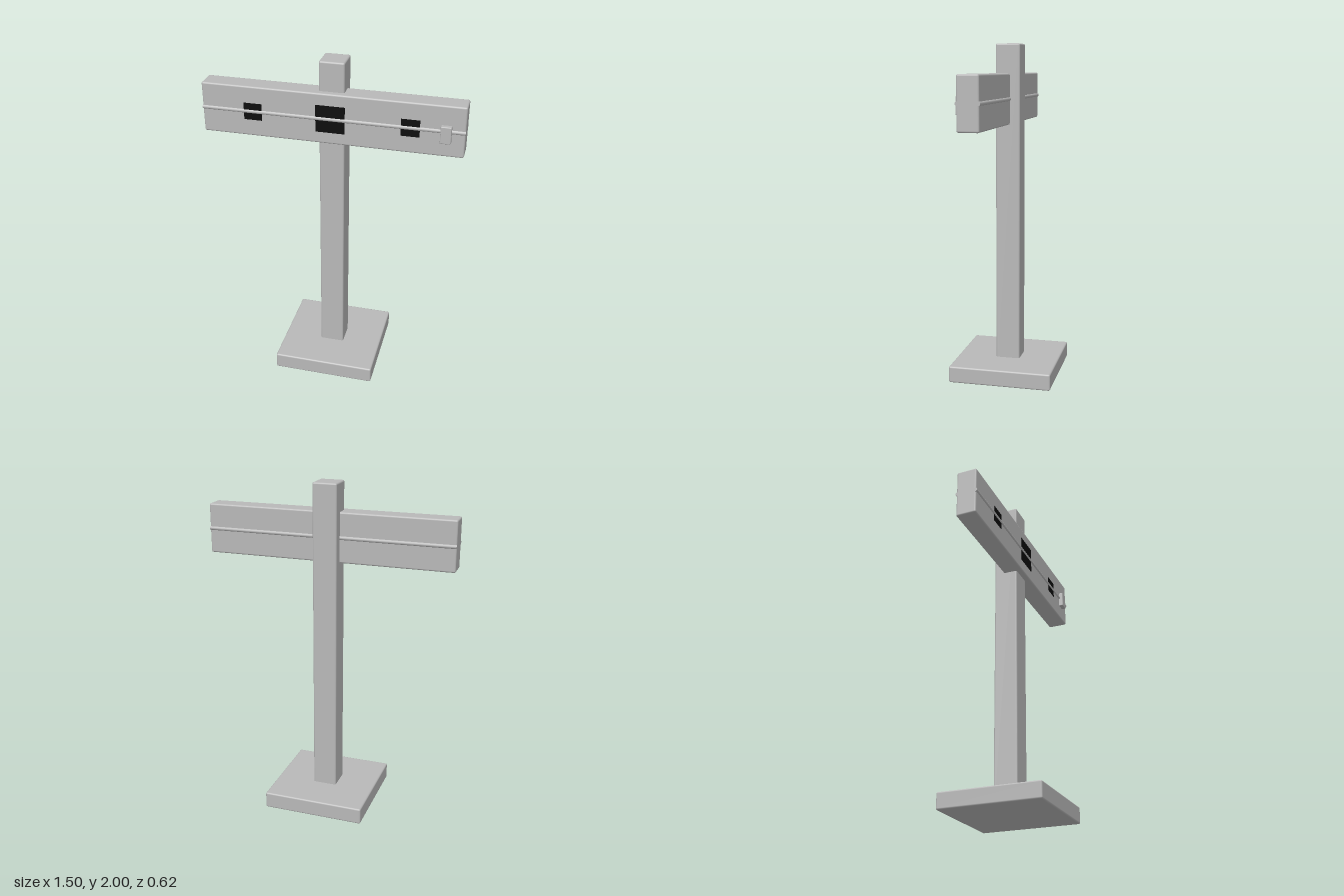
import * as THREE from 'three';
import { RoundedBoxGeometry } from 'three/addons/geometries/RoundedBoxGeometry.js';

const grey = new THREE.MeshStandardMaterial({ color: 0xb8b8b8 });
grey.name = 'grey';
const black = new THREE.MeshStandardMaterial({ color: 0x0c0c0c });
black.name = 'black';

export function createModel() {
  const model = new THREE.Group();
  model.name = 'signpost';

  const add = (name, geometry, material, x, y, z) => {
    const mesh = new THREE.Mesh(geometry, material);
    mesh.name = name;
    mesh.position.set(x, y, z);
    model.add(mesh);
    return mesh;
  };
  const block = (name, w, h, d, r, x, y, z) =>
    add(name, new RoundedBoxGeometry(w, h, d, 2, r), grey, x, y, z);

  // Base, post and cross board
  block('base', 0.616, 0.1, 0.616, 0.01, 0, 0.05, 0);
  block('post', 0.146, 1.95, 0.146, 0.01, 0, 1.025, 0);
  const midY = 1.68, midZ = 0.048, halfDepth = 0.061;
  const frontZ = midZ + halfDepth;
  block('board', 1.5, 0.298, halfDepth * 2, 0.01, 0, midY, midZ);

  // Thin rods along the front and back of the board
  for (const [name, side] of [['frontRod', 1], ['backRod', -1]]) {
    const rod = new THREE.CylinderGeometry(0.012, 0.012, 1.5, 16);
    rod.rotateZ(Math.PI / 2);
    add(name, rod, grey, 0, midY, midZ + side * (halfDepth - 0.005));
  }

  // Dark plates, each split above and below the front rod
  for (const [name, x, w, h] of [
    ['centrePlate', 0, 0.168, 0.16],
    ['rightPlate', -0.45, 0.105, 0.1],
    ['leftPlate', 0.45, 0.105, 0.1],
  ]) {
    const half = h / 2 - 0.01;
    for (const side of [1, -1]) {
      const y = midY + side * (0.01 + half / 2);
      add(name, new THREE.BoxGeometry(w, half, 0.004), black, x, y, frontZ);
    }
  }

  // Small latch at the left end
  block('latch', 0.06, 0.1, 0.04, 0.005, 0.646, 1.667, 0.115);

  return model;
}
